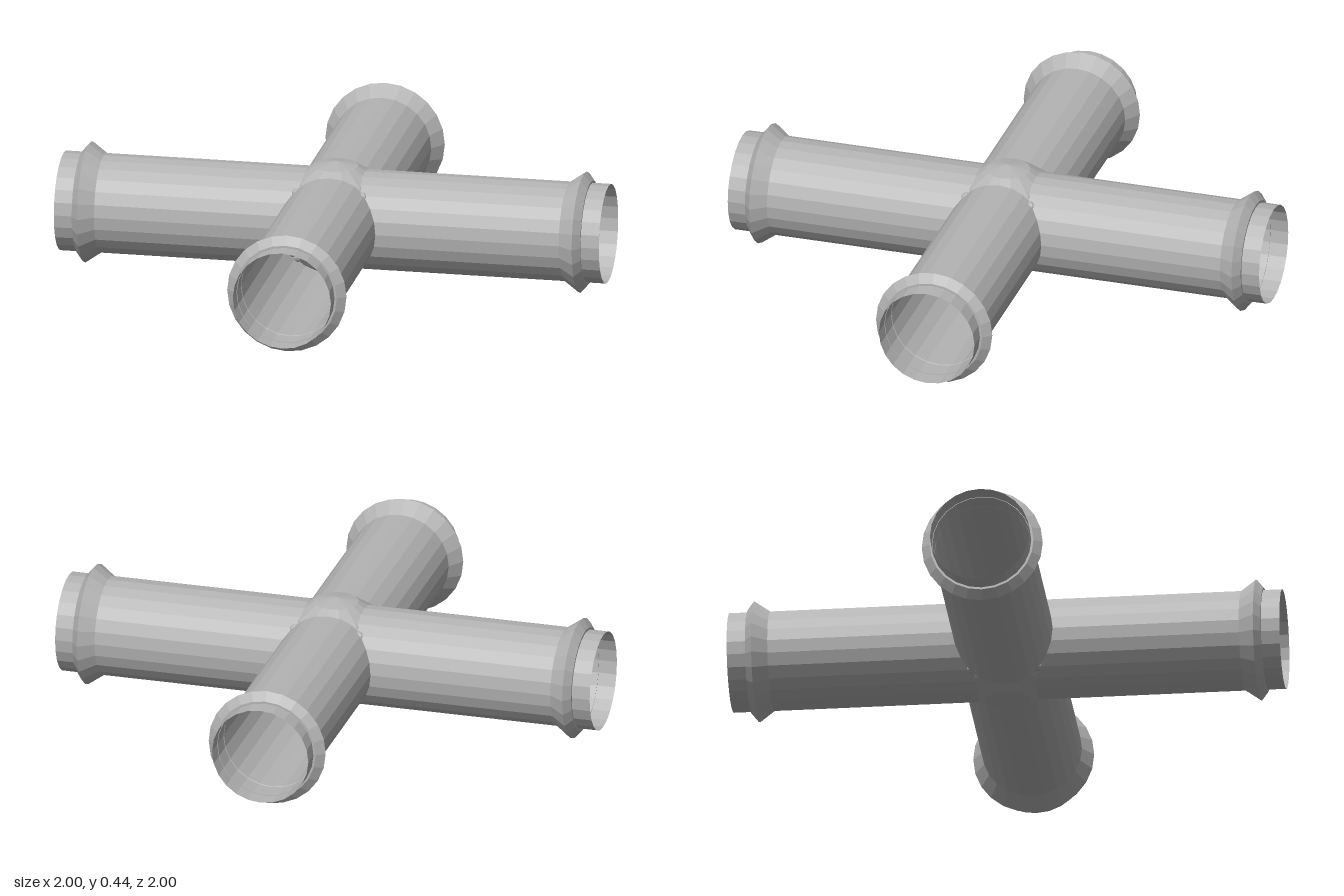
import * as THREE from 'three';

const CENTER_Y = 0.22;
const PIPE_RADIUS = 0.18;

export function createModel() {
  const model = new THREE.Group();
  model.name = 'pipeCross';

  const metal = new THREE.MeshStandardMaterial({ color: 0xb4b4b4, flatShading: true, side: THREE.DoubleSide });
  metal.name = 'grey metal';

  const add = (name, geometry, parent) => {
    const mesh = new THREE.Mesh(geometry, metal);
    mesh.name = name;
    parent.add(mesh);
    return mesh;
  };

  // Flared collar: long slope out to the lip, short slope back to the pipe
  const collarGeometry = new THREE.LatheGeometry([
    [PIPE_RADIUS - 0.002, 0.85],
    [0.219, 0.908],
    [0.188, 0.933],
    [PIPE_RADIUS - 0.002, 0.933],
  ].map(([r, y]) => new THREE.Vector2(r, y)), 24);
  const pipeGeometry = new THREE.CylinderGeometry(PIPE_RADIUS, PIPE_RADIUS, 2, 24, 1, true);

  // Two open pipes crossing at the hub, each with a collar near both ends
  for (const axis of ['x', 'z']) {
    const pipe = new THREE.Group();
    pipe.name = axis === 'x' ? 'sidePipe' : 'frontPipe';
    pipe.position.y = CENTER_Y;
    if (axis === 'x') pipe.rotation.z = Math.PI / 2;
    else pipe.rotation.x = Math.PI / 2;
    add('tube', pipeGeometry, pipe);
    add('collar', collarGeometry, pipe);
    add('collar', collarGeometry, pipe).rotation.x = Math.PI;
    model.add(pipe);
  }

  // Ball joint bulging through the crossing, above and below
  add('hub', new THREE.SphereGeometry(0.213, 16, 8), model).position.y = CENTER_Y;

  // Small studs at the corners of the joint
  const studGeometry = new THREE.SphereGeometry(0.021, 8, 6);
  for (const x of [-1, 1]) for (const y of [-1, 1]) for (const z of [-1, 1]) {
    add('stud', studGeometry, model).position.set(x * 0.12, CENTER_Y + y * 0.118, z * 0.12);
  }

  return model;
}
